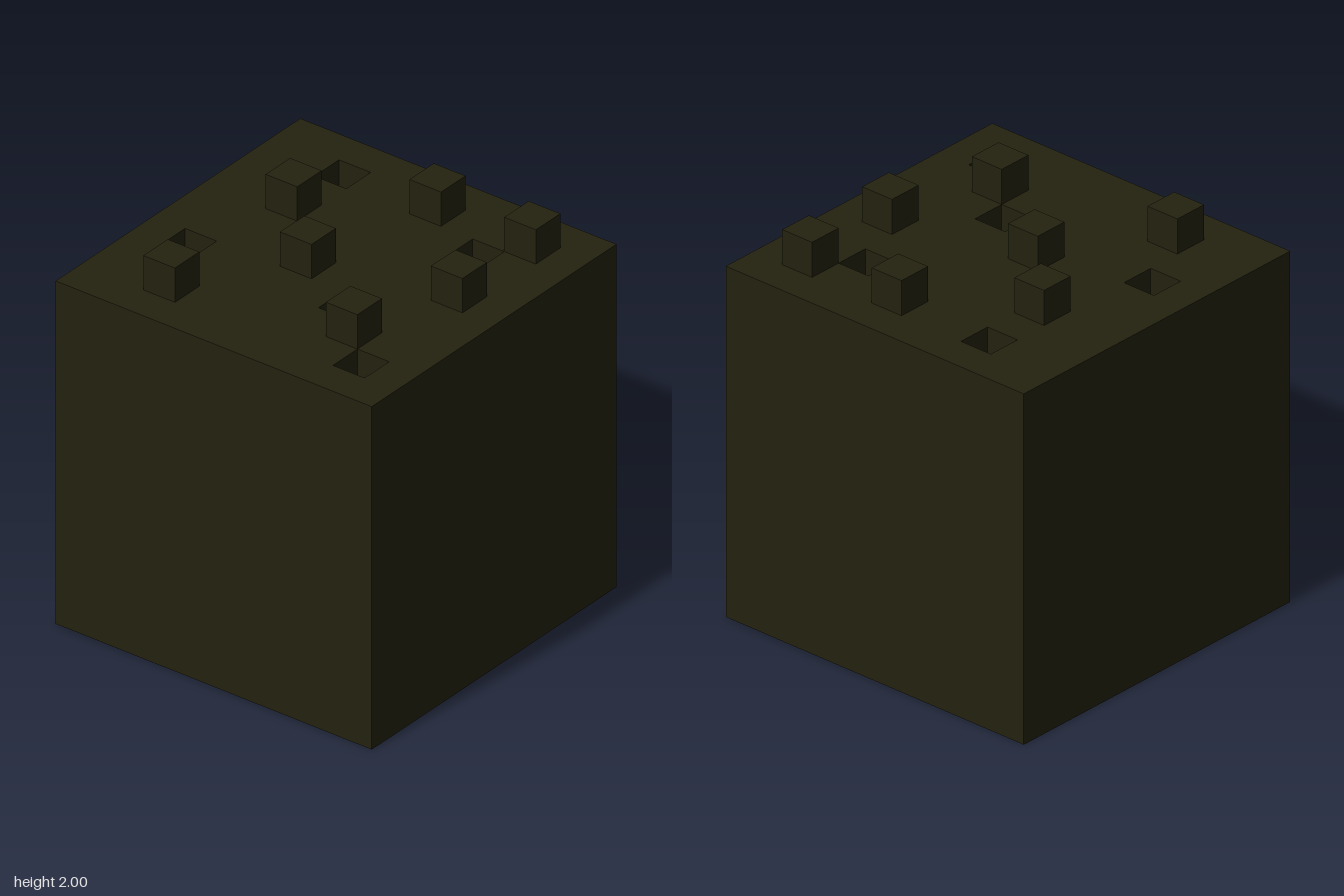
import * as THREE from 'three';

const U = 2 / 11; // one grid cell; the body is ten cells wide

// Cells (column along x, row along z) counted from the centre
const STUDS = [[-4, -3], [1, -3], [-1, -1], [3, 0], [-3, 2], [0, 3], [3, 3]];
const PITS = [[-2, -4], [3, -3], [-2, 1], [2, 2], [-4, 3]];

// Traces a rectangle; y in the shape becomes -z after rotation
function rect(path, x, y, w, h) {
  path.moveTo(x, y);
  path.lineTo(x + w, y);
  path.lineTo(x + w, y + h);
  path.lineTo(x, y + h);
  path.closePath();
  return path;
}

export function createModel() {
  const model = new THREE.Group();
  const darkOlive = new THREE.MeshStandardMaterial({ color: 0x24220f });
  darkOlive.name = 'darkOlive';

  const add = (name, geometry, x, y, z) => {
    const mesh = new THREE.Mesh(geometry, darkOlive);
    mesh.name = name;
    mesh.position.set(x, y, z);
    model.add(mesh);
  };

  // Solid lower body, whose top forms the floors of the pits
  add('body', new THREE.BoxGeometry(10 * U, 9 * U, 10 * U), 0, 4.5 * U, 0);

  // Top layer, one cell thick, pierced by the square pits
  const slab = rect(new THREE.Shape(), -5 * U, -5 * U, 10 * U, 10 * U);
  for (const [i, j] of PITS) {
    slab.holes.push(rect(new THREE.Path(), i * U, -(j + 1) * U, U, U));
  }
  const layer = new THREE.ExtrudeGeometry(slab, { depth: U, bevelEnabled: false });
  layer.rotateX(-Math.PI / 2);
  add('pittedTop', layer, 0, 9 * U, 0);

  // Raised cubes
  const cube = new THREE.BoxGeometry(U, U, U);
  STUDS.forEach(([i, j], n) => {
    add(`stud${n + 1}`, cube, (i + 0.5) * U, 10.5 * U, (j + 0.5) * U);
  });

  return model;
}
